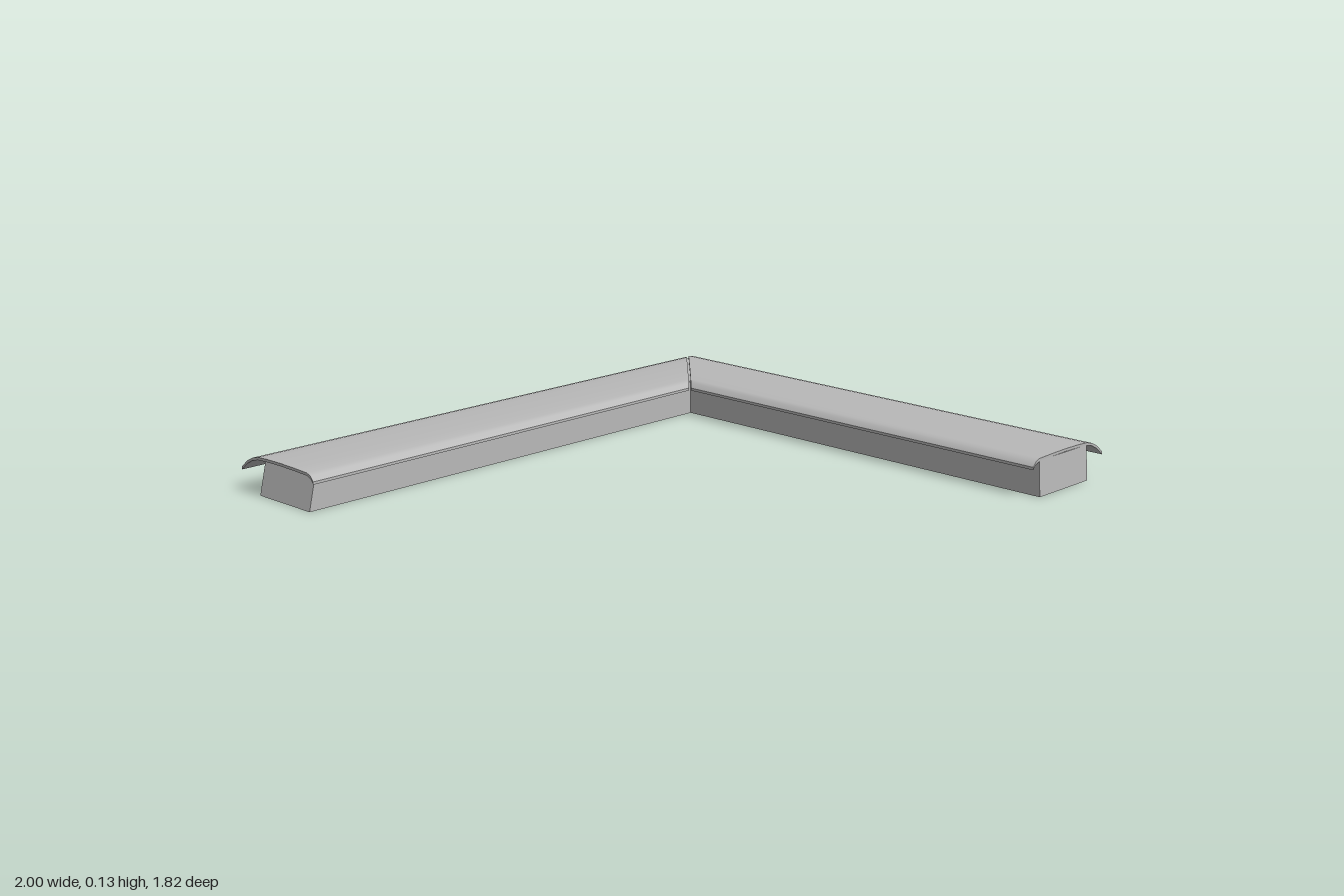
import * as THREE from 'three';

// Sheet cross-section: [distance from inner edge, height]
const PROFILE = [
  [0, 0.1], [0.012, 0.115], [0.03, 0.122], [0.1, 0.1245], [0.17, 0.1255], [0.24, 0.1245],
  [0.285, 0.122], [0.315, 0.115], [0.345, 0.1], [0.375, 0.075],
];
const THICKNESS = 0.009;

// Moves every vertex of a box by a rule; box faces stay creased, each face stays smooth
function warpBox(segments, rule) {
  const geometry = new THREE.BoxGeometry(1, 1, 1, segments, 1, 1);
  const p = geometry.attributes.position;
  for (let i = 0; i < p.count; i++) {
    p.setXYZ(i, ...rule(p.getX(i) + 0.5, p.getY(i) > 0, p.getZ(i) > 0));
  }
  geometry.computeVertexNormals();
  return geometry;
}

export function createModel() {
  const model = new THREE.Group();
  model.name = 'cornerFrame';
  const grey = new THREE.MeshStandardMaterial({ color: 0xb8b8b8 });
  grey.name = 'grey';

  const add = (name, geometry) => {
    const mesh = new THREE.Mesh(geometry, grey);
    mesh.name = name;
    model.add(mesh);
  };
  const last = PROFILE.length - 1;

  // Side arm: mitred bar with a curved cover sheet
  add('sideBar', warpBox(1, (t, top, start) => [
    0.655 + t * 0.255,
    top ? 0.115 : 0,
    start ? (top ? 0.902 : 0.91) : -0.575 - t * 0.25,
  ]));
  add('sideCover', warpBox(last, (t, top, start) => {
    const [u, y] = PROFILE[Math.round(t * last)];
    const mitre = u <= 0.285 ? u : 0.285 + (u - 0.285) * 0.4;
    const droop = !start && u > 0.36 ? 0.005 : 0;
    return [0.625 + u, y - droop - (top ? 0 : THICKNESS), start ? 0.902 : -0.545 - mitre];
  }));

  // Back arm: the same section turned to run along x, with a slanted free end
  add('backBar', warpBox(1, (t, top, start) => {
    const u = 1 - t;
    return [
      start ? (top ? -0.972 : -1) : 0.655 + u * 0.255,
      top ? 0.115 : 0,
      -0.575 - u * 0.25,
    ];
  }));
  add('backCover', warpBox(last, (t, top, start) => {
    const [u, y] = PROFILE[Math.round((1 - t) * last)];
    const across = u * (start ? 0.973 : 0.935);
    const droop = !start && u > 0.36 ? 0.005 : 0;
    return [start ? -1 : 0.62 + across, y - droop - (top ? 0 : THICKNESS), -0.55 - across];
  }));

  return model;
}
